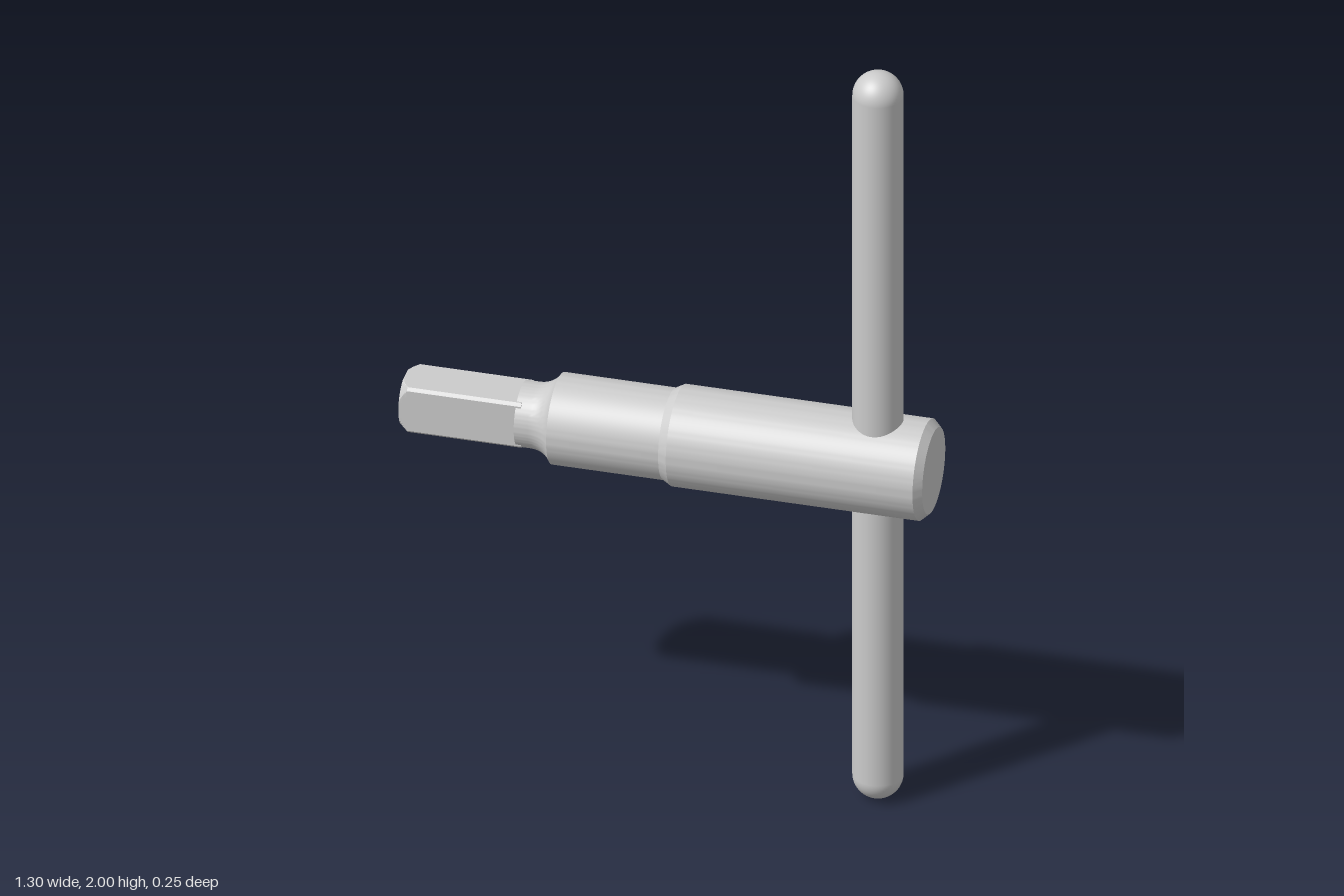
import * as THREE from 'three';
import { toCreasedNormals } from 'three/addons/utils/BufferGeometryUtils.js';

const AXIS_Y = 0.92;      // height of the body axis
const FLAT = 0.062;       // half width of the square drive
const CREASE = Math.PI / 9;

// Profile of [x, radius] pairs turned around the x axis
function turned(profile, segments = 96) {
  const points = profile.map(([x, r]) => new THREE.Vector2(r, x));
  return new THREE.LatheGeometry(points, segments).rotateZ(-Math.PI / 2);
}

export function createModel() {
  const model = new THREE.Group();
  const material = new THREE.MeshStandardMaterial({ color: 0xcccccc });
  const add = (name, geometry, x, y) => {
    const mesh = new THREE.Mesh(geometry, material);
    mesh.name = name;
    mesh.position.set(x, y, 0);
    model.add(mesh);
  };

  // Stepped round body with a concave fillet at the neck and a chamfered end
  const fillet = [];
  for (let i = 0; i <= 8; i++) {
    const a = (i / 8) * Math.PI / 3;
    fillet.push([-0.33 + 0.055 * Math.sin(a) / Math.sin(Math.PI / 3), 0.08 + 0.062 * (1 - Math.cos(a))]);
  }
  const body = turned([
    [-0.363, 0], [-0.363, 0.08], ...fillet,
    [0, 0.111], [0.022, 0.123],
    [0.628, 0.123], [0.647, 0.105], [0.647, 0],
  ]);
  add('body', toCreasedNormals(body, CREASE), 0, AXIS_Y);

  // Square drive: a chamfered round bar with four flats cut into it
  const chamfer = [];
  for (let i = 0; i <= 6; i++) chamfer.push([-0.65 + 0.02 * i / 6, 0.066 + 0.017 * i / 6]);
  const drive = turned([[-0.65, 0], ...chamfer, [-0.35, 0.083], [-0.35, 0]]);
  const pos = drive.attributes.position;
  for (let i = 0; i < pos.count; i++) {
    pos.setY(i, THREE.MathUtils.clamp(pos.getY(i), -FLAT, FLAT));
    pos.setZ(i, THREE.MathUtils.clamp(pos.getZ(i), -FLAT, FLAT));
  }
  add('squareDrive', toCreasedNormals(drive, CREASE), 0, AXIS_Y);

  // Round cross handle with domed ends
  add('crossHandle', new THREE.CapsuleGeometry(0.061, 1.878, 16, 64), 0.51, 1);

  return model;
}
